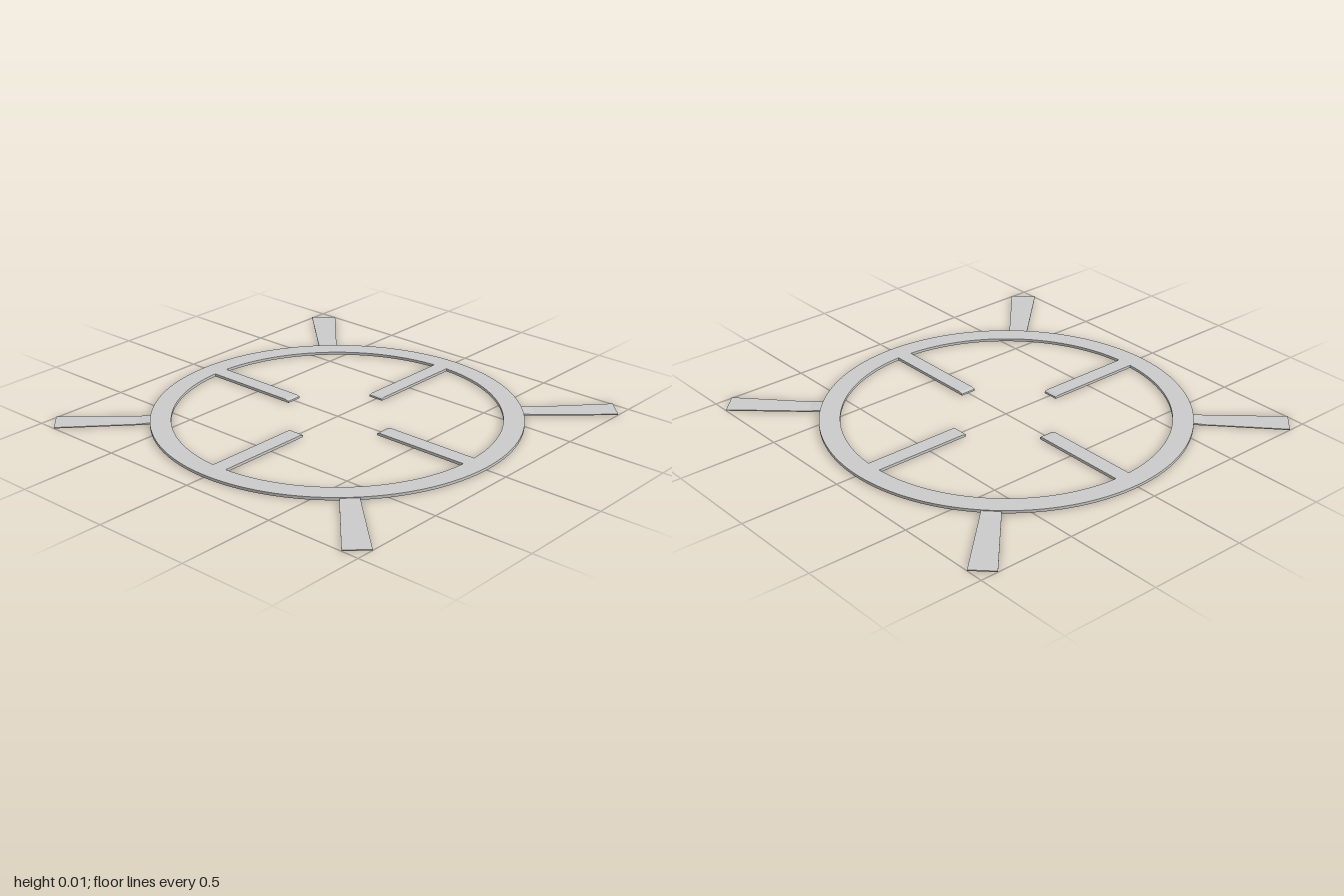
import * as THREE from 'three';

const HEIGHT = 0.014;
const grey = new THREE.MeshStandardMaterial({ color: 0xcccccc, flatShading: true });

// Solid bar along +x from stations [x, halfWidth, topY], standing on y = 0
function bar(stations) {
  const pos = [], idx = [];
  for (const [x, w, t] of stations) pos.push(x, 0, w, x, 0, -w, x, t, -w, x, t, w);
  for (let s = 0; s < stations.length - 1; s++) {
    for (let k = 0; k < 4; k++) {
      const a = s * 4 + k, b = s * 4 + (k + 1) % 4;
      idx.push(a, b, b + 4, a, b + 4, a + 4);
    }
  }
  const e = (stations.length - 1) * 4;
  idx.push(0, 2, 1, 0, 3, 2, e, e + 1, e + 2, e, e + 2, e + 3);
  const g = new THREE.BufferGeometry();
  g.setAttribute('position', new THREE.Float32BufferAttribute(pos, 3));
  g.setIndex(idx);
  const flat = g.toNonIndexed();
  flat.computeVertexNormals();
  return flat;
}

export function createModel() {
  const model = new THREE.Group();
  model.name = 'flatRingWithSpokes';
  const body = new THREE.Group();
  body.name = 'body';
  body.position.z = -0.003;
  model.add(body);

  // Flat ring
  const outline = new THREE.Shape().absarc(0, 0, 0.897, 0, Math.PI * 2, false);
  outline.holes.push(new THREE.Path().absarc(0, 0, 0.796, 0, Math.PI * 2, true));
  const ringGeo = new THREE.ExtrudeGeometry(outline, { depth: HEIGHT, bevelEnabled: false, curveSegments: 96 });
  ringGeo.rotateX(-Math.PI / 2);
  const ring = new THREE.Mesh(ringGeo, grey);
  ring.name = 'ring';
  body.add(ring);

  // Inner bars with a sloped tip, and flaring outer spokes stepped below the ring top
  const barGeo = bar([[0.285, 0.04, 0.009], [0.305, 0.04, HEIGHT], [0.8, 0.04, HEIGHT]]);
  const spokeGeo = bar([[0.885, 0.045, 0.011], [0.95, 0.048, 0.005], [1.35, 0.064, 0.005]]);
  for (let i = 0; i < 4; i++) {
    const inner = new THREE.Mesh(barGeo, grey);
    inner.name = 'innerBar' + (i + 1);
    inner.rotation.y = i * Math.PI / 2;
    body.add(inner);

    const spoke = new THREE.Mesh(spokeGeo, grey);
    spoke.name = 'outerSpoke' + (i + 1);
    spoke.rotation.y = (i + 0.5) * Math.PI / 2;
    spoke.position.z = 0.003;
    body.add(spoke);
  }
  return model;
}
